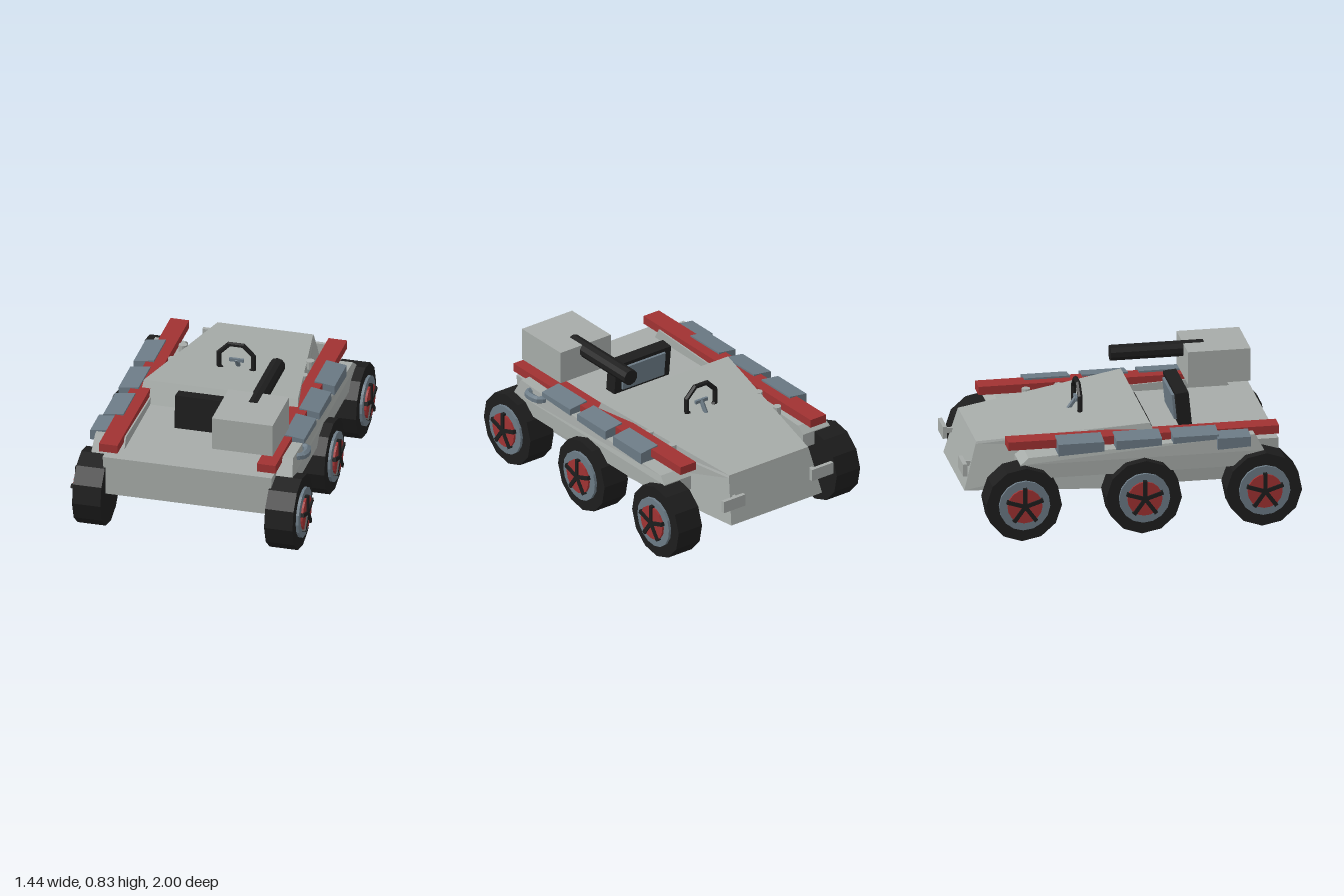
import * as THREE from 'three';

const mat = (name, color) => {
  const m = new THREE.MeshStandardMaterial({ color });
  m.name = name;
  return m;
};

export function createModel() {
  const grey = mat('hull grey', 0xa6aba8);
  const red = mat('trim red', 0xa03232);
  const slate = mat('slate blue', 0x6b7a85);
  const black = mat('rubber black', 0x1d1d1d);
  const model = new THREE.Group();

  const add = (name, geo, material, pos = [0, 0, 0], parent = model) => {
    const flat = geo.index ? geo.toNonIndexed() : geo;
    flat.computeVertexNormals();
    const m = new THREE.Mesh(flat, material);
    m.name = name;
    m.position.set(...pos);
    parent.add(m);
    return m;
  };
  // Box given by its extents
  const box = (name, material, x0, x1, y0, y1, z0, z1) =>
    add(name, new THREE.BoxGeometry(x1 - x0, y1 - y0, z1 - z0), material,
      [(x0 + x1) / 2, (y0 + y1) / 2, (z0 + z1) / 2]);
  // Solid through stacked four-cornered rings, bottom to top, counter-clockwise from above
  const loft = (rings) => {
    const v = [];
    const quad = (a, b, c, d) => v.push(...a, ...b, ...c, ...a, ...c, ...d);
    for (let r = 0; r + 1 < rings.length; r++)
      for (let i = 0; i < 4; i++) {
        const j = (i + 1) % 4;
        quad(rings[r][i], rings[r][j], rings[r + 1][j], rings[r + 1][i]);
      }
    quad(...rings[rings.length - 1]);
    quad(...[...rings[0]].reverse());
    const g = new THREE.BufferGeometry();
    g.setAttribute('position', new THREE.Float32BufferAttribute(v, 3));
    return g;
  };
  const ring = (xf, yf, zf, xr, yr, zr) =>
    [[xf, yf, zf], [xr, yr, zr], [-xr, yr, zr], [-xf, yf, zf]];
  const mirror = (r) => r.map(([x, y, z]) => [-x, y, z]).reverse();

  // Hull: open front deck and tapered rear cowl
  add('frontHull', loft([
    ring(0.505, 0.25, 0.89, 0.505, 0.25, 0.1),
    ring(0.522, 0.495, 0.89, 0.522, 0.495, 0.1),
  ]), grey);
  add('rearCowl', loft([
    ring(0.505, 0.22, 0.18, 0.34, 0.22, -0.98),
    ring(0.495, 0.495, 0.178, 0.3, 0.495, -0.904),
    ring(0.475, 0.625, 0.12, 0.295, 0.51, -0.9),
  ]), grey);

  // Dashboard plate on the cowl's sloping front face
  const dash = add('dashboard', new THREE.BoxGeometry(0.41, 0.075, 0.009), black, [0, 0.535, 0.163]);
  dash.rotation.x = -0.42;

  for (const s of [1, -1]) {
    const side = s > 0 ? 'left' : 'right';
    const fit = (r) => (s > 0 ? r : mirror(r));

    // Side sponson, higher at the front
    const sponson = (xf, yf, zf, yr, zr) =>
      fit([[xf, yf, zf], [xf, yr, zr], [0.42, yr, zr], [0.42, yf, zf]]);
    add(side + 'Sponson', loft([
      sponson(0.62, 0.37, 0.785, 0.37, -0.69),
      sponson(0.62, 0.46, 0.785, 0.46, -0.69),
      sponson(0.61, 0.56, 0.73, 0.5, -0.64),
    ]), grey);

    // Long rail
    const rx = [0.43 * s, 0.545 * s].sort((a, b) => a - b);
    box(side + 'Rail', red, rx[0], rx[1], 0.53, 0.582, -0.75, 0.89);

    // Sloped armour panels
    const panel = (xi, xo, z0, z1, low, yi, yo) => {
      const y = (z) => low + 0.044 * (z + 0.64);
      add(side + 'Panel', loft([
        fit([[xo, y(z1), z1], [xo, y(z0), z0], [xi, y(z0), z0], [xi, y(z1), z1]]),
        fit([[xo, yo, z1], [xo, yo, z0], [xi, yi, z0], [xi, yi, z1]]),
      ]), slate);
    };
    for (const z of [-0.46, -0.11, 0.235]) panel(0.495, 0.62, z, z + 0.277, 0.495, 0.593, 0.575);
    if (s < 0) panel(0.54, 0.65, 0.5, 0.7, 0.44, 0.575, 0.56);

    // Small studs along the cowl edge
    for (const [x, z, y] of [[0.392, -0.47, 0.545], [0.405, -0.27, 0.555]])
      add(side + 'Stud', new THREE.CylinderGeometry(0.026, 0.026, 0.05, 10), grey, [x * s, y, z]);

    // Rear lamp plate
    const lx = [0.25 * s, 0.41 * s].sort((a, b) => a - b);
    box(side + 'RearPlate', grey, lx[0], lx[1], 0.335, 0.41, -1, -0.975);
    const bx = [0.28 * s, 0.3 * s].sort((a, b) => a - b);
    box(side + 'RearPlateMount', grey, bx[0], bx[1], 0.36, 0.39, -0.98, -0.93);

    // Wheels
    for (const z of [0.775, 0.047, -0.68]) {
      const wheel = new THREE.Group();
      wheel.name = side + 'Wheel';
      wheel.position.set(0, 0.231, z);
      model.add(wheel);
      const disc = (name, r, x0, x1, n, m) => add(name,
        new THREE.CylinderGeometry(r, r, x1 - x0, n).rotateZ(Math.PI / 2).rotateX(0.06),
        m, [s * (x0 + x1) / 2, 0, 0], wheel);
      disc('tire', 0.229, 0.505, 0.68, 12, black);
      disc('rim', 0.155, 0.6, 0.697, 16, slate);
      disc('hub', 0.106, 0.6, 0.71, 16, red);
      for (let i = 0; i < 5; i++) {
        const geo = new THREE.BoxGeometry(0.03, 0.115, 0.024).translate(0, 0.0575, 0);
        const spoke = add('spoke', geo, black, [s * 0.705, 0, 0], wheel);
        spoke.rotation.x = (i * Math.PI * 2) / 5;
      }
    }
  }

  // Grab handle on the left side
  const handle = new THREE.CatmullRomCurve3([
    [0.6, 0.525, 0.5], [0.642, 0.525, 0.52], [0.652, 0.525, 0.57], [0.642, 0.525, 0.62], [0.6, 0.525, 0.64],
  ].map((p) => new THREE.Vector3(...p)));
  add('grabHandle', new THREE.TubeGeometry(handle, 8, 0.024, 6), slate);

  // Upright console with a screen on its rear side
  const consoleGroup = new THREE.Group();
  consoleGroup.name = 'console';
  consoleGroup.position.set(0, 0.495, 0.385);
  consoleGroup.rotation.x = -0.1;
  model.add(consoleGroup);
  add('consoleBody', new THREE.BoxGeometry(0.41, 0.21, 0.08), black, [0, 0.1, 0], consoleGroup);
  add('consoleScreen', new THREE.BoxGeometry(0.31, 0.155, 0.02), slate, [0, 0.105, -0.046], consoleGroup);

  // Steering wheel sunk into the cowl
  add('steeringWheel', new THREE.TorusGeometry(0.115, 0.016, 6, 8).rotateZ(Math.PI / 8), black, [0, 0.636, -0.235]);
  const column = add('steeringColumn', new THREE.CylinderGeometry(0.014, 0.014, 0.09, 6), slate, [0, 0.607, -0.262]);
  column.rotation.x = 0.6;
  box('steeringBar', slate, -0.045, 0.045, 0.628, 0.648, -0.248, -0.232);

  // Weapon pod with its barrel
  box('gunPod', grey, 0.14, 0.515, 0.62, 0.825, 0.465, 0.845);
  add('gunBarrel', new THREE.CylinderGeometry(0.049, 0.049, 0.565, 10).rotateX(Math.PI / 2), black, [0.325, 0.785, 0.308]);

  return model;
}
